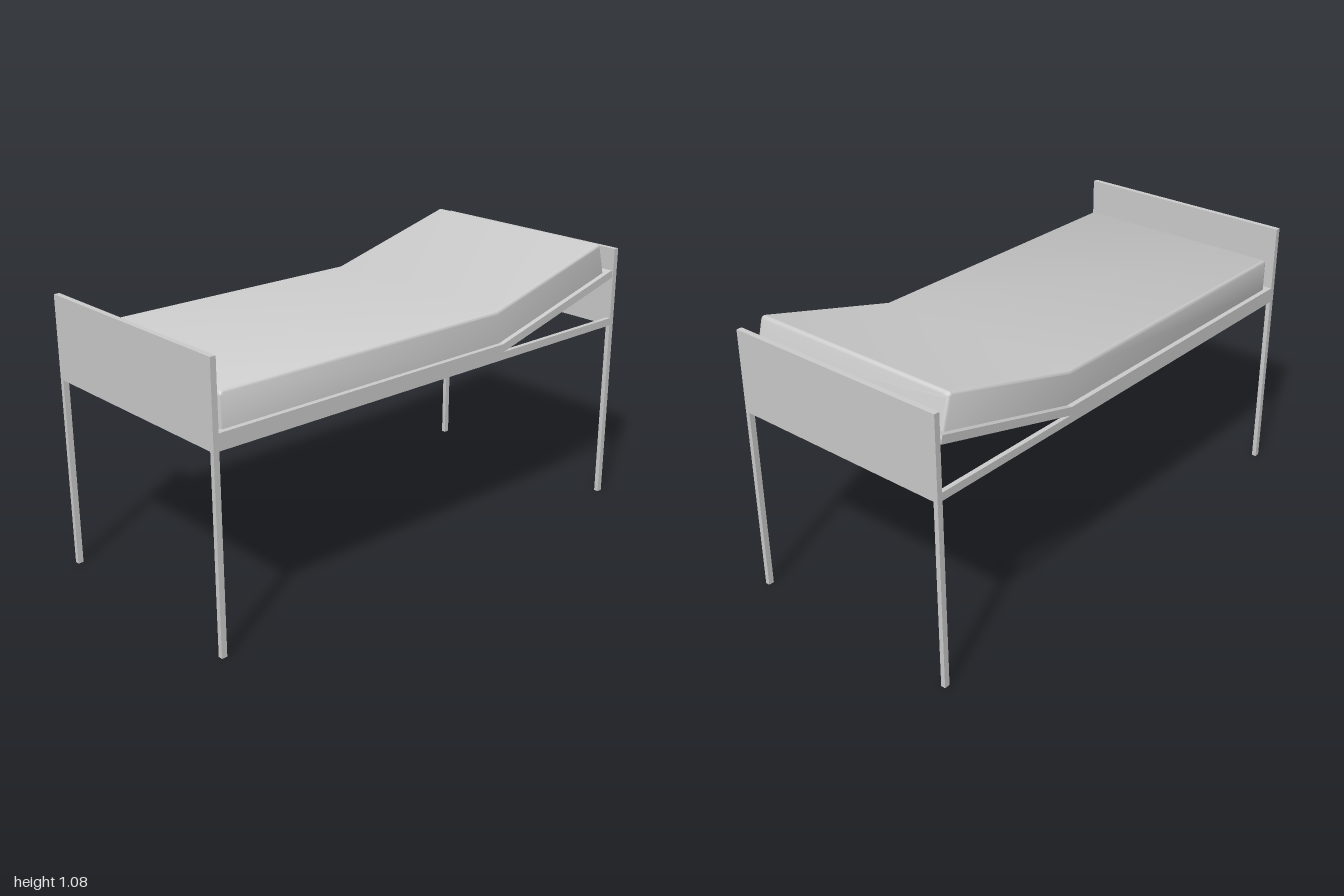
import * as THREE from 'three';
import { toCreasedNormals } from 'three/addons/utils/BufferGeometryUtils.js';

const material = new THREE.MeshStandardMaterial({ color: 0xcccccc });
const TILT = THREE.MathUtils.degToRad(15);
const BEND_X = 0.335, DECK_Y = 0.797, HALF_DEPTH = 0.46;
const POST = 0.022, RAIL_Y = 0.736;

function addMesh(group, name, geometry, x = 0, y = 0, z = 0) {
  const mesh = new THREE.Mesh(geometry, material);
  mesh.name = name;
  mesh.position.set(x, y, z);
  group.add(mesh);
}

// Point at length s and height h above the bent deck, mitred at the bend
function onDeck(s, h) {
  const d = s - BEND_X;
  if (Math.abs(d) < 1e-6) return [BEND_X - h * Math.tan(TILT / 2), DECK_Y + h];
  if (d < 0) return [s, DECK_Y + h];
  return [BEND_X + d * Math.cos(TILT) - h * Math.sin(TILT),
    DECK_Y + d * Math.sin(TILT) + h * Math.cos(TILT)];
}

// Bent slab that carries the mattress
function deckGeometry() {
  const start = -0.978, end = BEND_X + 0.655, t = -0.031;
  const outline = [[start, t], [BEND_X, t], [end, t], [end, 0], [BEND_X, 0], [start, 0]]
    .map(([s, h]) => new THREE.Vector2(...onDeck(s, h)));
  const geometry = new THREE.ExtrudeGeometry(new THREE.Shape(outline),
    { depth: 2 * HALF_DEPTH, bevelEnabled: false });
  return geometry.translate(0, 0, -HALF_DEPTH);
}

// Mattress lofted from rounded-top sections that shrink at both ends
function mattressGeometry() {
  const start = -0.955, end = BEND_X + 0.63, height = 0.127, halfWidth = 0.44;
  const r = 0.014, steps = 5;
  const stations = [];
  for (let i = 0; i <= steps; i++) {
    const a = (i / steps) * Math.PI / 2;
    stations.push([start + r * (1 - Math.sin(a)), r * (1 - Math.cos(a))]);
  }
  stations.reverse();
  stations.forEach((st) => { st[1] = r - Math.sqrt(Math.max(0, r * r - (r - (st[0] - start)) ** 2)); });
  stations.sort((a, b) => a[0] - b[0]);
  const tail = stations.map(([s, inset]) => [end - (s - start), inset]).reverse();
  const rings = [...stations, [BEND_X, 0], ...tail].map(([s, inset]) => {
    const w = halfWidth - inset, top = height - inset;
    const section = [[w, 0]];
    for (let i = 0; i <= steps; i++) {
      const a = (i / steps) * Math.PI / 2;
      section.push([w - r + r * Math.cos(a), top - r + r * Math.sin(a)]);
    }
    const mirrored = section.map(([z, h]) => [-z, h]).reverse();
    return [...section, ...mirrored].map(([z, h]) => [...onDeck(s, h), z]);
  });

  const n = rings[0].length, index = [];
  for (let i = 0; i < rings.length - 1; i++) {
    for (let j = 0; j < n; j++) {
      const a = i * n + j, b = i * n + (j + 1) % n;
      index.push(a, a + n, b, b, a + n, b + n);
    }
  }
  const last = (rings.length - 1) * n;
  for (let j = 1; j < n - 1; j++) {
    index.push(0, j, j + 1, last, last + j + 1, last + j);
  }
  const geometry = new THREE.BufferGeometry();
  geometry.setAttribute('position', new THREE.Float32BufferAttribute(rings.flat(2), 3));
  geometry.setIndex(index);
  return toCreasedNormals(geometry, 0.6);
}

export function createModel() {
  const bed = new THREE.Group();
  bed.name = 'adjustableBed';
  const postX = 1 - POST / 2, postZ = HALF_DEPTH - 0.009;
  const boardHeight = 1.052 - RAIL_Y;

  for (const sx of [-1, 1]) {
    // End board with a leg under each corner
    addMesh(bed, sx > 0 ? 'headboard' : 'footboard',
      new THREE.BoxGeometry(POST, boardHeight, 2 * HALF_DEPTH),
      sx * postX, RAIL_Y + boardHeight / 2, 0);
    for (const sz of [-1, 1]) {
      addMesh(bed, 'leg', new THREE.BoxGeometry(POST, RAIL_Y, 0.018),
        sx * postX, RAIL_Y / 2, sz * postZ);
    }
  }

  // Long side rails between the end boards
  for (const sz of [-1, 1]) {
    addMesh(bed, 'sideRail', new THREE.BoxGeometry(2 - 2 * POST, 0.03, 0.018),
      0, RAIL_Y + 0.015, sz * postZ);
  }

  addMesh(bed, 'bentDeck', deckGeometry());
  addMesh(bed, 'mattress', mattressGeometry());
  return bed;
}
